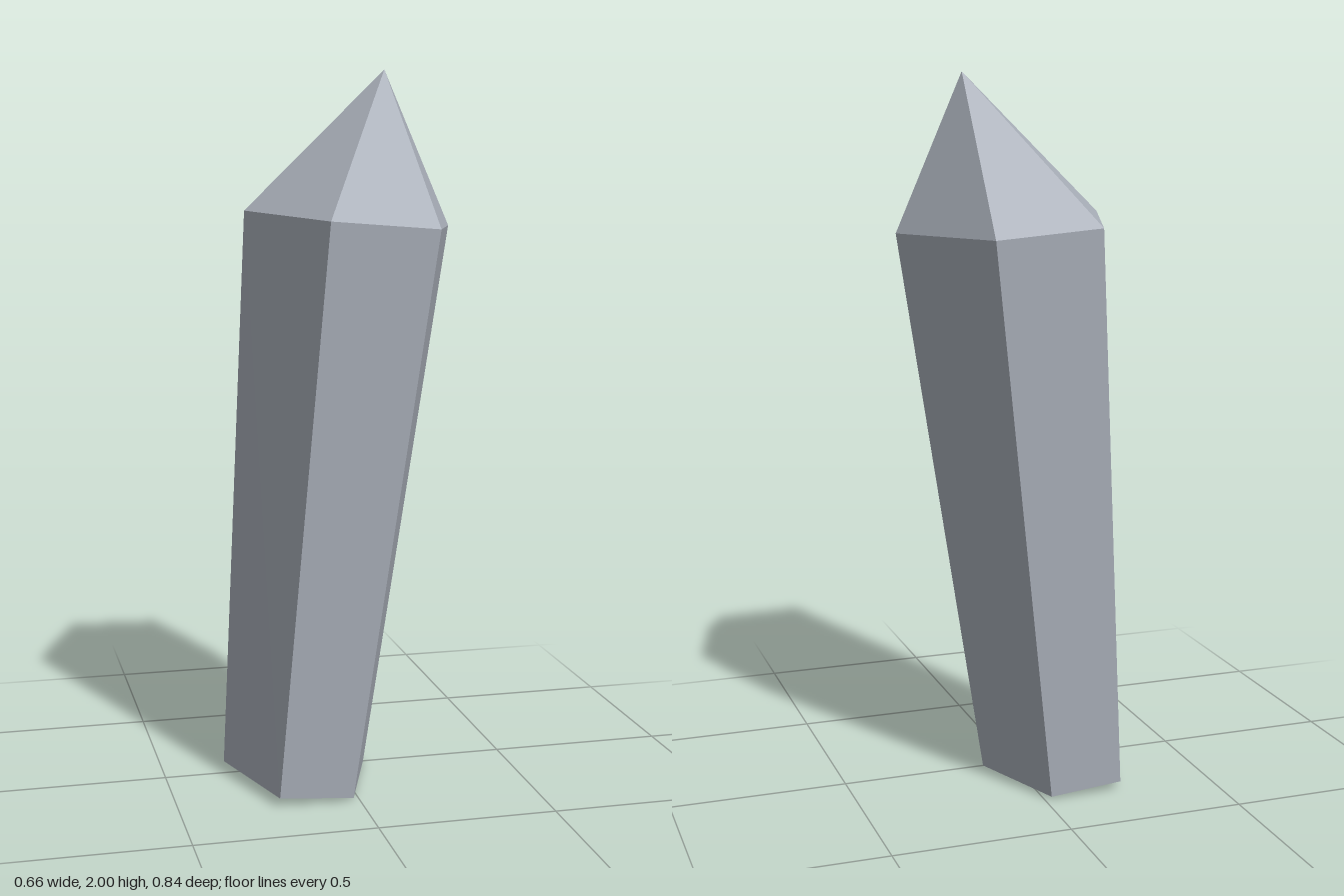
import * as THREE from 'three';

// Tilted hexagonal ring: centre (cx, cy), width axis (ux, uy), depth radius rz
function hexRing(cx, cy, ux, uy, rz) {
  return Array.from({ length: 6 }, (_, i) => {
    const a = (i * Math.PI) / 3;
    return [cx + ux * Math.cos(a), cy + uy * Math.cos(a), rz * Math.sin(a)];
  });
}

function facetMesh(name, triangles, material) {
  const geometry = new THREE.BufferGeometry();
  geometry.setAttribute('position', new THREE.Float32BufferAttribute(triangles.flat(2), 3));
  geometry.computeVertexNormals();
  const mesh = new THREE.Mesh(geometry, material);
  mesh.name = name;
  return mesh;
}

export function createModel() {
  const group = new THREE.Group();
  group.name = 'crystal';
  const stone = new THREE.MeshStandardMaterial({ color: 0xaab0ba });
  stone.name = 'blue grey stone';

  const base = hexRing(-0.1225, 0.0175, 0.2075, -0.0175, 0.346);
  const shoulder = hexRing(0.0365, 1.5915, 0.2935, -0.0235, 0.483);
  const apex = [0.148, 2, -0.027];
  const baseCentre = [-0.1225, 0.0175, 0];

  const shaft = [], tip = [], foot = [];
  for (let i = 0; i < 6; i++) {
    const j = (i + 1) % 6;
    shaft.push([base[i], shoulder[i], shoulder[j]], [base[i], shoulder[j], base[j]]);
    tip.push([shoulder[i], apex, shoulder[j]]);
    foot.push([baseCentre, base[i], base[j]]);
  }

  // Flared shaft, off-centre point and flat underside
  group.add(
    facetMesh('shaft', shaft, stone),
    facetMesh('tip', tip, stone),
    facetMesh('underside', foot, stone)
  );
  return group;
}
